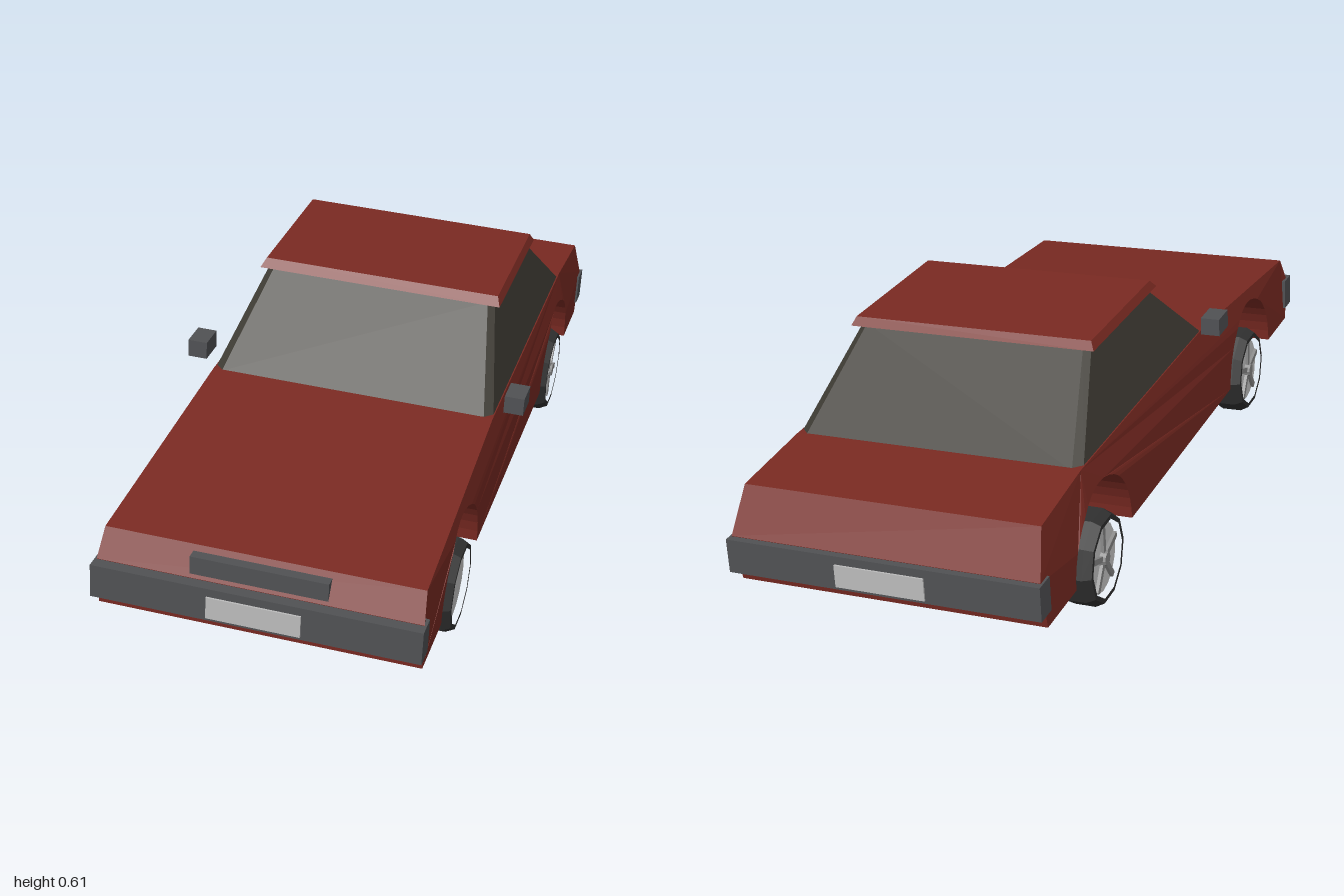
import * as THREE from 'three';
import { ConvexGeometry } from 'three/addons/geometries/ConvexGeometry.js';

const mat = (color) => new THREE.MeshStandardMaterial({ color, flatShading: true });
const paint = mat(0x7a2a22), glass = mat(0x3d3a33), trim = mat(0x505154);
const rubber = mat(0x303030), metal = mat(0xcccccc), plateMat = mat(0xbbbbbb), spokeMat = mat(0x8a8a8a);

function add(parent, name, geometry, material, x = 0, y = 0, z = 0) {
  const mesh = new THREE.Mesh(geometry, material);
  mesh.name = name;
  mesh.position.set(x, y, z);
  parent.add(mesh);
  return mesh;
}
const box = (w, h, d) => new THREE.BoxGeometry(w, h, d);

// Side profile with wheel arches, extruded across the width; shoulders lean inwards
function bodyGeometry() {
  const s = new THREE.Shape();
  s.moveTo(0.92, 0.15);
  for (const z of [0.567, -0.57]) {
    s.lineTo(z + 0.18, 0.15);
    s.absarc(z, 0.15, 0.18, 0, Math.PI, false);
  }
  [[-0.915, 0.15], [-0.94, 0.27], [-0.885, 0.375], [-0.645, 0.392], [0.22, 0.39],
    [0.895, 0.335], [0.93, 0.27]].forEach(([z, y]) => s.lineTo(z, y));
  s.closePath();
  const g = new THREE.ExtrudeGeometry(s, { depth: 2, bevelEnabled: false, curveSegments: 10 });
  g.translate(0, 0, -1).rotateY(-Math.PI / 2);
  const p = g.attributes.position;
  for (let i = 0; i < p.count; i++) {
    const half = 0.372 - 0.2 * Math.max(0, p.getY(i) - 0.3);
    p.setX(i, p.getX(i) * half);
  }
  g.computeVertexNormals();
  return g;
}

// Tapered block whose upright corners are cut off; each level is [y, half width, front z, back z, cut]
function taperedBlock(levels) {
  const points = [];
  for (const [y, w, front, back, cut] of levels) {
    for (const side of [-1, 1]) {
      points.push(
        new THREE.Vector3(side * w, y, front - cut), new THREE.Vector3(side * (w - cut), y, front),
        new THREE.Vector3(side * w, y, back + cut), new THREE.Vector3(side * (w - cut), y, back));
    }
  }
  return new ConvexGeometry(points);
}

function wheel(name, side, z, spoked) {
  const g = new THREE.Group();
  g.name = name;
  g.position.set(side * 0.33, 0.133, z);
  g.rotation.z = -side * Math.PI / 2;
  // Tyre with bevelled shoulders
  const profile = [[0.093, -0.046], [0.104, -0.046], [0.115, -0.025], [0.115, 0.025], [0.104, 0.046], [0.093, 0.046]];
  add(g, 'tyre', new THREE.LatheGeometry(profile.map(([r, y]) => new THREE.Vector2(r, y)), 10), rubber);
  add(g, 'rim', new THREE.CylinderGeometry(0.085, 0.085, 0.02, 16), metal, 0, 0.022, 0);
  // Five spokes around a hub
  if (spoked) {
    add(g, 'hub', new THREE.CylinderGeometry(0.016, 0.02, 0.014, 10), spokeMat, 0, 0.039, 0);
    for (let i = 0; i < 5; i++) {
      const a = i * Math.PI * 2 / 5;
      const spoke = add(g, 'spoke', box(0.075, 0.01, 0.014), spokeMat, Math.cos(a) * 0.044, 0.035, -Math.sin(a) * 0.044);
      spoke.rotation.y = a;
    }
  }
  return g;
}

export function createModel() {
  const model = new THREE.Group();
  model.name = 'car';
  const car = new THREE.Group();
  car.name = 'carBody';
  model.add(car);

  add(car, 'body', bodyGeometry(), paint);
  add(car, 'windows', taperedBlock([[0.388, 0.352, 0.22, -0.645, 0.02], [0.582, 0.29, -0.01, -0.405, 0.015]]), glass);
  add(car, 'roof', taperedBlock([[0.58, 0.308, 0.005, -0.425, 0], [0.6, 0.298, -0.015, -0.412, 0]]), paint);

  // Bumpers and number plates at both ends
  for (const [end, s] of [['front', 1], ['rear', -1]]) {
    add(car, end + 'Bumper', box(0.754, 0.082, 0.055), trim, 0, 0.228, s * 0.93);
    add(car, end + 'Plate', box(0.215, 0.054, 0.012), plateMat, 0, 0.222, s * 0.956);
  }
  add(car, 'grille', box(0.315, 0.044, 0.035), trim, 0, 0.3, 0.909);

  // Door mirrors and wheels
  for (const side of [-1, 1]) {
    const label = side > 0 ? 'left' : 'right';
    add(car, label + 'Mirror', box(0.048, 0.044, 0.072), trim, side * 0.4, 0.429, 0.173);
    car.add(wheel(label + 'FrontWheel', side, 0.563, side < 0));
    car.add(wheel(label + 'RearWheel', side, -0.565, true));
  }

  // Slight turn and lean of the whole car
  car.rotation.order = 'YXZ';
  car.rotation.set(0, -0.125, -0.056);
  car.position.set(-0.014, 0.004, 0);
  return model;
}
